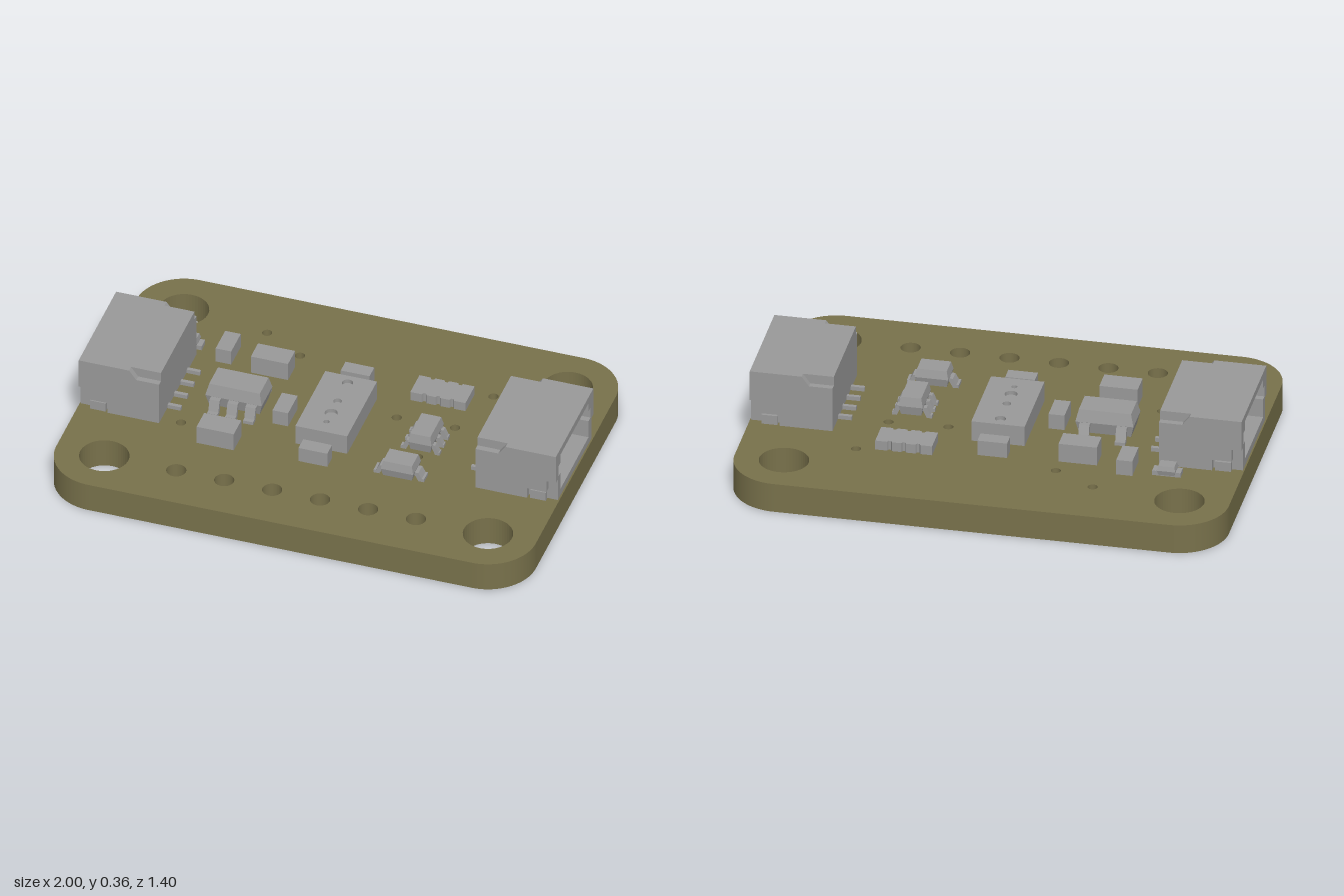
import * as THREE from 'three';

const TOP = 0.125; // upper face of the board

export function createModel() {
  const boardMat = new THREE.MeshStandardMaterial({ color: 0x78714b });
  boardMat.name = 'olive board';
  const partMat = new THREE.MeshStandardMaterial({ color: 0x999999 });
  partMat.name = 'grey component';

  const model = new THREE.Group();
  model.name = 'circuitBoard';

  const add = (parent, name, geo, mat = partMat) => {
    const mesh = new THREE.Mesh(geo, mat);
    mesh.name = name;
    parent.add(mesh);
    return mesh;
  };
  const group = (name) => {
    const g = new THREE.Group();
    g.name = name;
    model.add(g);
    return g;
  };
  // box given by its limits
  const box = (x0, x1, y0, y1, z0, z1) =>
    new THREE.BoxGeometry(x1 - x0, y1 - y0, z1 - z0)
      .translate((x0 + x1) / 2, (y0 + y1) / 2, (z0 + z1) / 2);
  const poly = (pts) => new THREE.Shape(pts.map(([x, y]) => new THREE.Vector2(x, y)));
  const extrude = (shape, depth, curveSegments = 24) =>
    new THREE.ExtrudeGeometry(shape, { depth, bevelEnabled: false, curveSegments });
  // plan shape (x, -z) raised from y0 to y1
  const slab = (shape, y0, y1, seg) =>
    extrude(shape, y1 - y0, seg).rotateX(-Math.PI / 2).translate(0, y0, 0);
  const drill = (shape, x, z, r) => {
    const hole = new THREE.Path();
    hole.absarc(x, -z, r, 0, Math.PI * 2, true);
    shape.holes.push(hole);
  };

  // Board with rounded corners, mounting holes, header holes and vias
  const outline = new THREE.Shape();
  outline.absarc(0.8, 0.5, 0.2, 0, Math.PI / 2);
  outline.absarc(-0.8, 0.5, 0.2, Math.PI / 2, Math.PI);
  outline.absarc(-0.8, -0.5, 0.2, Math.PI, Math.PI * 1.5);
  outline.absarc(0.8, -0.5, 0.2, Math.PI * 1.5, Math.PI * 2);
  for (const x of [-0.8, 0.8]) for (const z of [-0.5, 0.5]) drill(outline, x, z, 0.1);
  for (let i = 0; i < 6; i++) drill(outline, -0.5 + i * 0.2, 0.5, 0.04);
  const vias = [
    [-0.44, -0.46], [-0.27, -0.36], [0.54, -0.35], [0.22, -0.1], [0.46, -0.11],
    [0.38, 0.115], [-0.58, 0.2], [0.72, 0.14], [0.735, 0.03], [0.715, -0.12],
    [0, 0.04], [-0.76, 0.1], [-0.73, -0.035],
  ];
  for (const [x, z] of vias) drill(outline, x, z, 0.02);
  add(model, 'board', slab(outline, 0, TOP), boardMat);

  // Edge connectors: hollow shell, stepped side cheeks, contacts and solder legs
  for (const side of ['left', 'right']) {
    const g = group(side + 'Connector');
    const rim = poly([[-0.21, 0.128], [0.21, 0.128], [0.21, 0.36], [-0.21, 0.36]]);
    rim.holes.push(poly([
      [-0.175, 0.16], [-0.175, 0.24], [-0.2, 0.24], [-0.2, 0.29], [-0.175, 0.29], [-0.175, 0.33],
      [0.175, 0.33], [0.175, 0.29], [0.2, 0.29], [0.2, 0.24], [0.175, 0.24], [0.175, 0.16],
    ]));
    add(g, 'connectorShell', extrude(rim, 0.295).rotateY(Math.PI / 2).translate(0.7, 0, 0));
    add(g, 'connectorBack', box(0.66, 0.7, 0.128, 0.36, -0.21, 0.21));
    const cheek = poly([
      [0.66, 0.128], [0.875, 0.128], [0.875, 0.176], [0.955, 0.176], [0.955, 0.23],
      [0.995, 0.23], [0.995, 0.36], [0.785, 0.36], [0.755, 0.32], [0.66, 0.32],
    ]);
    for (const z of [-0.235, 0.21]) {
      add(g, 'connectorCheek', extrude(cheek, 0.025).translate(0, 0, z));
    }
    // solder tabs tucked into the recesses under the cheeks
    for (const s of [-1, 1]) {
      const z = s * 0.217;
      add(g, 'solderTab', box(0.885, 0.95, TOP, 0.165, z - 0.01, z + 0.01));
    }
    for (const z of [-0.12, -0.04, 0.04, 0.12]) {
      add(g, 'contact', box(0.69, 0.92, 0.262, 0.295, z - 0.008, z + 0.008));
      add(g, 'connectorLeg', box(0.605, 0.68, TOP, 0.142, z - 0.008, z + 0.008));
    }
    if (side === 'right') g.rotation.y = Math.PI; // model's own right is -x
  }

  // Plain chip parts: x0, x1, z0, z1, top
  const chips = [
    [-0.575, -0.51, -0.34, -0.22, 0.19],
    [-0.42, -0.265, -0.285, -0.195, 0.205],
    [-0.235, -0.17, -0.03, 0.09, 0.19],
    [-0.48, -0.325, 0.21, 0.305, 0.205],
    [-0.06, 0.06, -0.3, -0.24, 0.19],
    [-0.06, 0.06, 0.23, 0.29, 0.19],
  ];
  for (const [x0, x1, z0, z1, y] of chips) add(model, 'chipPart', box(x0, x1, TOP, y, z0, z1));

  // Sensor package with ports sunk in its lid
  const sensor = group('sensor');
  add(sensor, 'sensorBase', box(-0.108, 0.108, TOP, 0.195, -0.19, 0.185));
  const lid = poly([[-0.108, -0.185], [0.108, -0.185], [0.108, 0.19], [-0.108, 0.19]]);
  for (const [z, r] of [[-0.145, 0.022], [-0.02, 0.017], [0.06, 0.026], [0.12, 0.012]]) {
    drill(lid, 0, z, r);
  }
  add(sensor, 'sensorLid', slab(lid, 0.195, 0.212, 12));

  // Resistor array with notched long edges
  const edge = [[0.235, 0.225]];
  for (let i = 1; i < 4; i++) {
    const x = 0.235 + i * 0.0575;
    edge.push([x - 0.01, 0.225], [x - 0.005, 0.235], [x + 0.005, 0.235], [x + 0.01, 0.225]);
  }
  edge.push([0.465, 0.225]);
  const backEdge = edge.map(([x, y]) => [x, 0.565 - y]).reverse();
  add(model, 'resistorArray', slab(poly([...edge, ...backEdge]), TOP, 0.165));

  // Moulded body, widest at mid height
  const moulded = (x0, x1, y0, y1, z0, z1, inset) => {
    const w = x1 - x0, d = z1 - z0;
    const geo = new THREE.BoxGeometry(w, y1 - y0, d, 1, 2, 1).toNonIndexed();
    const p = geo.attributes.position;
    for (let i = 0; i < p.count; i++) {
      if (Math.abs(p.getY(i)) < 1e-4) continue;
      p.setX(i, p.getX(i) * (1 - (2 * inset) / w));
      p.setZ(i, p.getZ(i) * (1 - (2 * inset) / d));
    }
    geo.computeVertexNormals();
    return geo.translate((x0 + x1) / 2, (y0 + y1) / 2, (z0 + z1) / 2);
  };
  // Gull-wing leg reaching outward along +x before turning
  const leg = (g, x, z, angle, width, reach, rise) => {
    const t = 0.014, m = reach * 0.45;
    const shape = poly([
      [-0.02, rise - t], [m - t, rise - t], [m, 0], [reach, 0],
      [reach, t], [m + t, t], [m, rise], [-0.02, rise],
    ]);
    const mesh = add(g, 'leg', extrude(shape, width).translate(0, 0, -width / 2));
    mesh.position.set(x, TOP, z);
    mesh.rotation.y = angle;
  };

  // Regulator with five legs
  const regulator = group('regulator');
  add(regulator, 'regulatorBody', moulded(-0.52, -0.285, 0.135, 0.237, -0.06, 0.075, 0.012));
  for (const x of [-0.475, -0.4, -0.325]) {
    leg(regulator, x, 0.07, -Math.PI / 2, 0.042, 0.057, 0.06);
    if (x !== -0.4) leg(regulator, x, -0.055, Math.PI / 2, 0.042, 0.055, 0.06);
  }

  // Transistor pair with six legs
  const transistor = group('transistorPair');
  add(transistor, 'transistorBody', moulded(0.332, 0.43, 0.135, 0.212, -0.06, 0.095, 0.008));
  for (const z of [-0.035, 0.017, 0.07]) {
    leg(transistor, 0.425, z, 0, 0.024, 0.034, 0.045);
    leg(transistor, 0.337, z, Math.PI, 0.024, 0.04, 0.045);
  }

  // Diode with one wide leg at each end
  const diode = group('diode');
  add(diode, 'diodeBody', moulded(0.282, 0.418, 0.135, 0.205, 0.19, 0.29, 0.008));
  leg(diode, 0.412, 0.24, 0, 0.05, 0.043, 0.04);
  leg(diode, 0.288, 0.24, Math.PI, 0.05, 0.043, 0.04);

  // Small indicator lamp with flat end terminals
  const lamp = group('indicatorLamp');
  add(lamp, 'lampBase', box(-0.765, -0.65, TOP, 0.145, -0.315, -0.27));
  add(lamp, 'lampBody', moulded(-0.745, -0.67, 0.13, 0.17, -0.322, -0.263, 0.005));

  return model;
}
